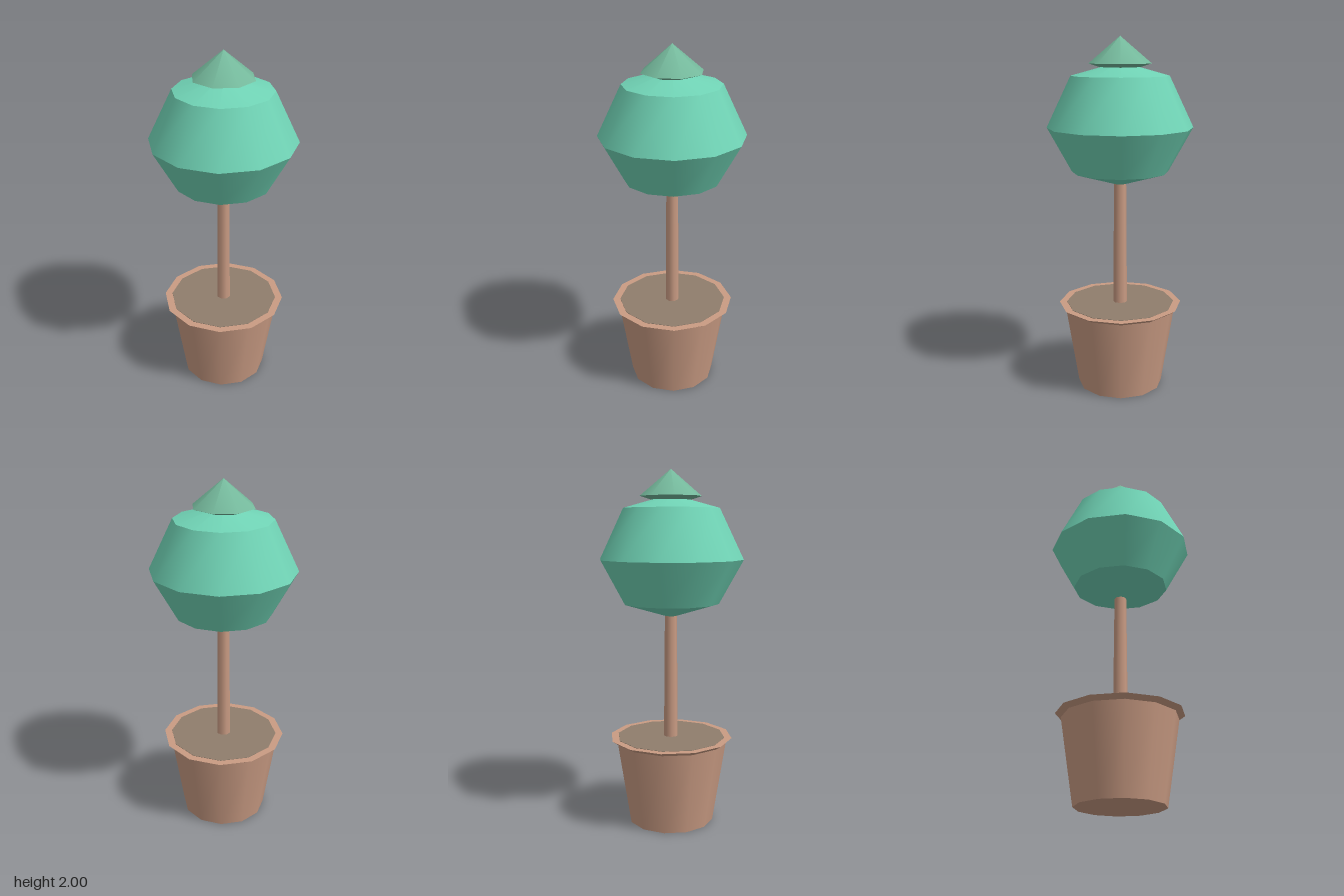
import * as THREE from 'three';

const paint = (name, color) => {
  const m = new THREE.MeshStandardMaterial({ color });
  m.name = name;
  return m;
};

export function createModel() {
  const terracotta = paint('terracotta', 0xc99b83);
  const soilBrown = paint('soil brown', 0x8f7d6c);
  const leafGreen = paint('leaf green', 0x70d3b5);
  const tipGreen = paint('tip green', 0x74b89b);

  const model = new THREE.Group();
  model.name = 'pottedTopiary';

  // Stack of [radius, height] rings: smooth around, crisp between tiers
  const stack = (name, material, sides, rings, capped = false) => {
    const part = new THREE.Group();
    part.name = name;
    for (let i = 0; i < rings.length - 1; i++) {
      const [r0, y0] = rings[i];
      const [r1, y1] = rings[i + 1];
      const tier = new THREE.Mesh(
        new THREE.CylinderGeometry(r1, r0, y1 - y0, sides, 1, !capped), material);
      tier.name = `${name}Tier${i + 1}`;
      tier.position.y = (y0 + y1) / 2;
      part.add(tier);
    }
    model.add(part);
  };

  // Pot body, flared rim and the soil inside it
  stack('pot', terracotta, 12, [[0.245, 0], [0.32, 0.475]], true);
  stack('rim', terracotta, 12, [[0.315, 0.47], [0.352, 0.495]], true);
  stack('soil', soilBrown, 12, [[0.31, 0.492], [0.31, 0.497]], true);

  // Slim trunk
  stack('trunk', terracotta, 8, [[0.04, 0.49], [0.034, 1.23]]);

  // Faceted round crown
  stack('crown', leafGreen, 12,
    [[0, 1.185], [0.27, 1.265], [0.405, 1.51], [0.27, 1.79], [0, 1.865]]);

  // Pointed tip with a shallow underside
  stack('tip', tipGreen, 8, [[0, 1.8], [0.172, 1.855], [0, 2]]);

  return model;
}
